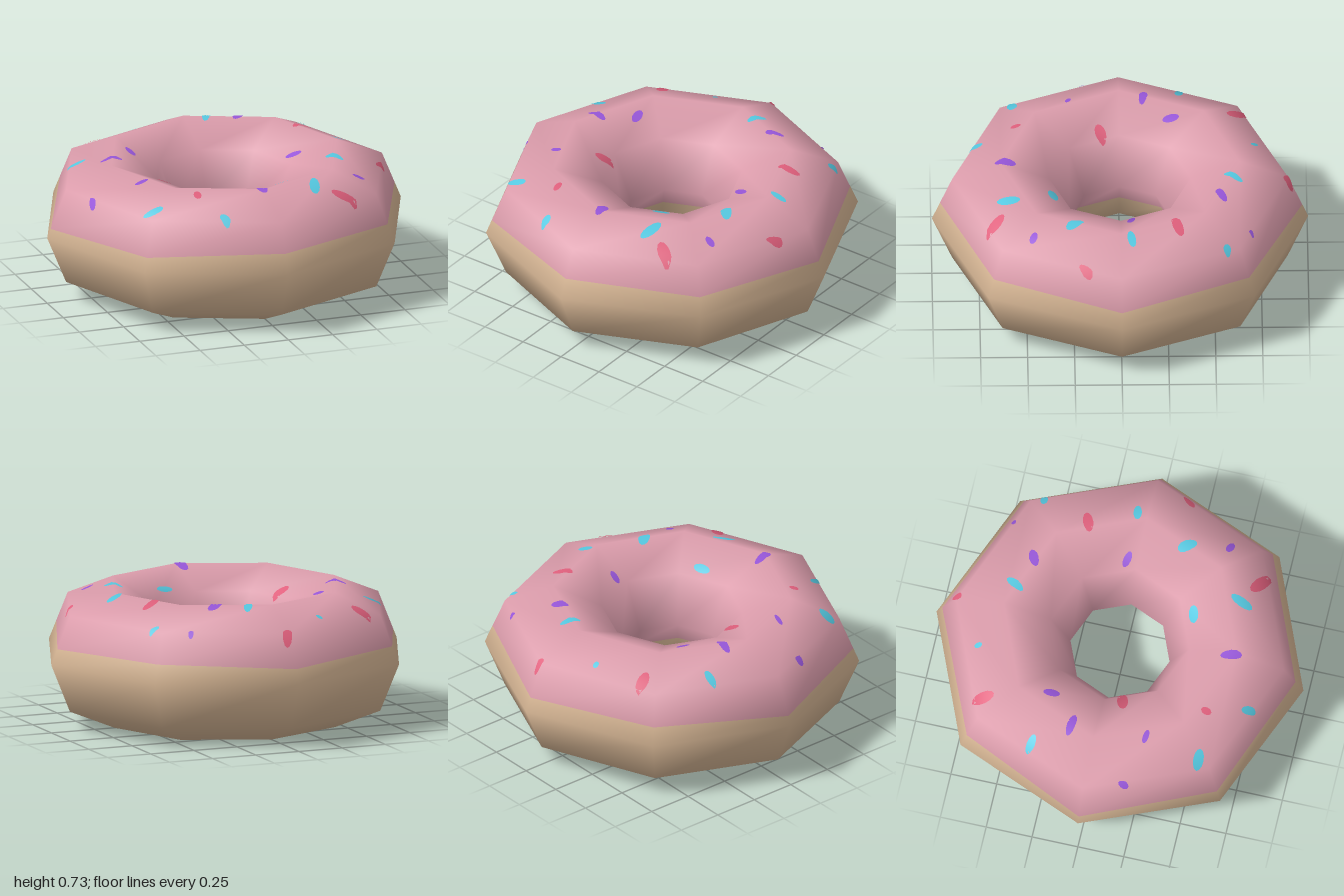
import * as THREE from 'three';
import { mergeGeometries } from 'three/addons/utils/BufferGeometryUtils.js';

const SIDES = 8;            // segments around the ring and around the tube
const R = 0.635, TUBE = 0.365;
const STEP = Math.PI * 2 / SIDES;

const mat = (name, color) => {
  const m = new THREE.MeshStandardMaterial({ color });
  m.name = name;
  return m;
};

// Corner of the tube's cross-section, as radius and height
const corner = (k) => [R + TUBE * Math.cos(k * STEP), TUBE + TUBE * Math.sin(k * STEP)];

// Point and smooth normal at ring corner i and fractional tube position v
function ringPoint(i, v) {
  const k = Math.floor(v), t = v - k;
  const a = corner(k), b = corner(k + 1);
  const r = a[0] + (b[0] - a[0]) * t, y = a[1] + (b[1] - a[1]) * t;
  const c = Math.cos(i * STEP), s = Math.sin(i * STEP), w = v * STEP;
  return { p: [r * c, y, r * s], n: [Math.cos(w) * c, Math.sin(w), Math.cos(w) * s] };
}

// Band of the ring; rowsAt(i) lists the tube positions at ring corner i
function band(rowsAt) {
  const pos = [], nor = [], idx = [];
  const rows = rowsAt(0).length;
  for (let i = 0; i <= SIDES; i++) {
    for (const v of rowsAt(i % SIDES)) {
      const q = ringPoint(i, v);
      pos.push(...q.p);
      nor.push(...q.n);
    }
  }
  for (let i = 0; i < SIDES; i++) {
    for (let j = 0; j < rows - 1; j++) {
      const a = i * rows + j, b = a + rows;
      idx.push(a, a + 1, b, b, a + 1, b + 1);
    }
  }
  const g = new THREE.BufferGeometry();
  g.setAttribute('position', new THREE.Float32BufferAttribute(pos, 3));
  g.setAttribute('normal', new THREE.Float32BufferAttribute(nor, 3));
  g.setIndex(idx);
  return g;
}

// Height and normal of the faceted upper surface above (x, z)
function surface(x, z) {
  const az = Math.atan2(z, x);
  const mid = (Math.floor(az / STEP) + 0.5) * STEP;
  const rho = Math.hypot(x, z) * Math.cos(az - mid) / Math.cos(STEP / 2);
  let k = 0;
  while (k < 3 && rho < corner(k + 1)[0]) k++;
  const a = corner(k), b = corner(k + 1);
  const t = (rho - a[0]) / (b[0] - a[0]);
  const w = (k + t) * STEP;
  return {
    y: a[1] + (b[1] - a[1]) * t,
    n: [Math.cos(w) * Math.cos(az), Math.sin(w), Math.cos(w) * Math.sin(az)],
  };
}

// Flat oval draped over the icing
function sprinkle([x, z, length, width, degrees]) {
  const g = new THREE.RingGeometry(0, 1, 12, 3);
  g.rotateX(-Math.PI / 2);
  g.scale(length / 2, 1, width / 2);
  g.rotateY(-degrees * Math.PI / 180);
  g.translate(x, 0, z);
  const p = g.attributes.position, n = g.attributes.normal;
  for (let i = 0; i < p.count; i++) {
    const s = surface(p.getX(i), p.getZ(i));
    p.setXYZ(i, p.getX(i) + s.n[0] * 0.005, s.y + s.n[1] * 0.005, p.getZ(i) + s.n[2] * 0.005);
    n.setXYZ(i, ...s.n);
  }
  return g;
}

// x, z, length, width, turn in degrees
const RED = [
  [0.02, -0.89, 0.05, 0.05, 0], [-0.52, -0.625, 0.12, 0.065, 60], [0.55, -0.3, 0.12, 0.055, -20],
  [-0.375, 0.1, 0.1, 0.06, -15], [0.81, 0.19, 0.09, 0.035, -50], [0.435, 0.665, 0.14, 0.065, 35],
  [-0.35, 0.55, 0.055, 0.04, 90],
];
const CYAN = [
  [-0.24, -0.715, 0.04, 0.03, 60], [0.12, -0.6, 0.11, 0.045, -60], [0.645, -0.56, 0.055, 0.04, 0],
  [-0.715, -0.32, 0.1, 0.045, 10], [0.66, -0.055, 0.09, 0.045, -10], [0.535, 0.245, 0.11, 0.06, 55],
  [0.19, 0.36, 0.1, 0.05, -15], [0.295, 0.595, 0.13, 0.055, -70], [-0.605, 0.565, 0.11, 0.055, 0],
  [-0.27, 0.76, 0.075, 0.045, 75],
];
const PURPLE = [
  [0.49, -0.69, 0.03, 0.025, 0], [0.285, -0.535, 0.1, 0.05, -25], [-0.43, -0.275, 0.09, 0.045, 85],
  [-0.59, -0.13, 0.12, 0.045, 8], [0.415, -0.055, 0.085, 0.04, 15], [-0.565, 0.27, 0.07, 0.03, 10],
  [-0.815, 0.205, 0.055, 0.025, 85], [-0.015, 0.61, 0.115, 0.055, 80], [0.59, 0.465, 0.065, 0.04, 20],
];

export function createModel() {
  const group = new THREE.Group();
  group.name = 'doughnut';
  const add = (name, geometry, material) => {
    const mesh = new THREE.Mesh(geometry, material);
    mesh.name = name;
    group.add(mesh);
  };

  // Uneven outer edge of the icing, as a height at each ring corner
  const edge = [0.45, 0.465, 0.47, 0.44, 0.415, 0.46, 0.44, 0.465];
  const rise = TUBE * Math.sin(STEP);
  const outer = (i) => (edge[i] - TUBE) / rise;
  const inner = 4.4;

  add('icing', band((i) => [outer(i), 1, 2, 3, 4, inner]), mat('pink icing', 0xdc9dac));
  add('dough', band((i) => [inner, 5, 6, 7, 8, 8 + outer(i)]), mat('baked dough', 0xdab997));

  add('redSprinkles', mergeGeometries(RED.map(sprinkle)), mat('red sprinkle', 0xdf5f7c));
  add('cyanSprinkles', mergeGeometries(CYAN.map(sprinkle)), mat('cyan sprinkle', 0x55c8e0));
  add('purpleSprinkles', mergeGeometries(PURPLE.map(sprinkle)), mat('purple sprinkle', 0x9656d8));
  return group;
}
